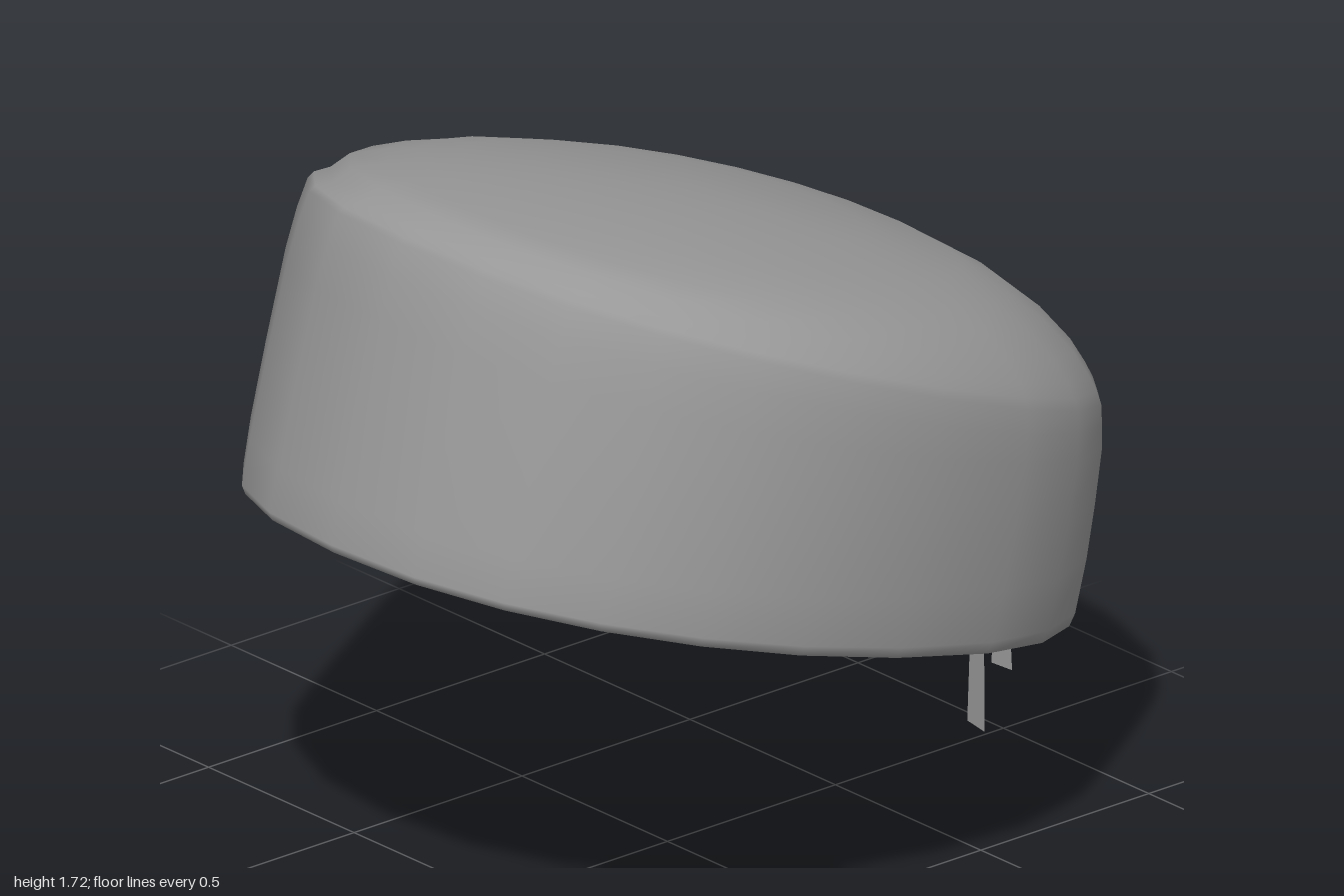
import * as THREE from 'three';

const material = new THREE.MeshStandardMaterial({ color: 0x999999, side: THREE.DoubleSide });
const SEGMENTS = 24;

// Skin of quads between equal rows of points; closed rows wrap round, an apex closes the top
function loft(rows, closed, apex) {
  const n = rows[0].length;
  const positions = rows.flat(2);
  const index = [];
  const last = closed ? n : n - 1;
  for (let i = 0; i < rows.length - 1; i++) {
    for (let j = 0; j < last; j++) {
      const k = (j + 1) % n;
      const a = i * n + j, b = i * n + k, c = b + n, d = a + n;
      index.push(a, b, c, a, c, d);
    }
  }
  if (apex) {
    const top = rows.length * n, base = top - n;
    positions.push(...apex);
    for (let j = 0; j < n; j++) index.push(base + j, base + ((j + 1) % n), top);
  }
  const geometry = new THREE.BufferGeometry();
  geometry.setAttribute('position', new THREE.Float32BufferAttribute(positions, 3));
  geometry.setIndex(index);
  geometry.computeVertexNormals();
  return geometry;
}

// Tilted oval through a front point, a back point and a half width, squarer at the back
function oval([zFront, yFront, zBack, yBack, halfWidth]) {
  const soften = (v, power) => Math.sign(v) * Math.abs(v) ** power;
  return Array.from({ length: SEGMENTS }, (_, j) => {
    const angle = (j / SEGMENTS) * Math.PI * 2;
    const cos = Math.cos(angle);
    const c = soften(cos, cos > 0 ? 0.95 : 0.88);
    return [
      halfWidth * soften(Math.sin(angle), 0.9),
      (yFront + yBack) / 2 + ((yFront - yBack) / 2) * c,
      (zFront + zBack) / 2 + ((zFront - zBack) / 2) * c,
    ];
  });
}

// Ribbon from rows of [x left, y left, x right, y right, z left, z right]
const ribbon = (rows) =>
  loft(rows.map(([x1, y1, x2, y2, z1, z2 = z1]) => [[x1, y1, z1], [x2, y2, z2]]), false);

function addMesh(parent, name, geometry) {
  const mesh = new THREE.Mesh(geometry, material);
  mesh.name = name;
  parent.add(mesh);
  return mesh;
}

export function createModel() {
  const model = new THREE.Group();
  model.name = 'clothCap';

  // Cap: rounded hem, upright band, small ledge at the front, then the domed crown
  const rings = [
    [0.98, 0.982, -0.905, 0.472, 0.824],
    [0.993, 0.98, -0.92, 0.468, 0.832],
    [1.0, 1.0, -0.935, 0.5, 0.841],
    [0.975, 1.1, -0.965, 0.63, 0.848],
    [0.925, 1.28, -0.985, 0.75, 0.85],
    [0.86, 1.51, -1.0, 0.86, 0.848],
    [0.825, 1.61, -1.0, 0.91, 0.842],
    [0.795, 1.68, -1.0, 0.955, 0.832],
    [0.78, 1.69, -0.99, 0.99, 0.822],
    [0.735, 1.69, -0.972, 1.03, 0.802],
    [0.69, 1.718, -0.94, 1.09, 0.765],
    [0.6, 1.712, -0.87, 1.18, 0.7],
    [0.53, 1.705, -0.79, 1.255, 0.63],
    [0.44, 1.695, -0.69, 1.325, 0.53],
    [0.28, 1.67, -0.48, 1.43, 0.35],
    [0.1, 1.628, -0.26, 1.517, 0.17],
  ];
  addMesh(model, 'cap', loft(rings.map(oval), true, [0, 1.58, -0.08]));

  // Bow tied at the back of the hem
  const bow = new THREE.Group();
  bow.name = 'bow';
  model.add(bow);

  const knot = addMesh(bow, 'knot', new THREE.SphereGeometry(0.033, 12, 8));
  knot.scale.set(1, 1.1, 0.75);
  knot.position.set(0, 0.49, -0.957);

  // Each loop runs out on one layer and returns on the other
  const loopRows = [
    [0.0, 0.465, 0.03, 0.5, -0.955],
    [0.03, 0.42, 0.085, 0.465, -0.938],
    [0.045, 0.375, 0.115, 0.42, -0.938],
    [0.065, 0.34, 0.137, 0.372, -0.952],
    [0.065, 0.34, 0.137, 0.372, -0.962],
    [0.045, 0.375, 0.115, 0.42, -0.977],
    [0.03, 0.42, 0.085, 0.465, -0.977],
    [0.0, 0.465, 0.03, 0.5, -0.957],
  ];
  for (const [side, name] of [[1, 'leftLoop'], [-1, 'rightLoop']]) {
    addMesh(bow, name, ribbon(loopRows.map(([a, b, c, d, z]) => [a * side, b, c * side, d, z])));
  }

  // Hanging tails of unequal length, slightly twisted
  addMesh(bow, 'shortTail', ribbon([
    [0.005, 0.47, 0.03, 0.48, -0.957],
    [0.02, 0.4, 0.055, 0.4, -0.958, -0.964],
    [0.018, 0.3, 0.067, 0.3, -0.955, -0.961],
    [0.012, 0.177, 0.076, 0.177, -0.954, -0.96],
  ]));
  addMesh(bow, 'longTail', ribbon([
    [-0.03, 0.48, -0.003, 0.47, -0.957],
    [-0.055, 0.37, -0.018, 0.37, -0.964, -0.958],
    [-0.07, 0.2, -0.014, 0.2, -0.961, -0.955],
    [-0.078, 0.005, -0.012, 0, -0.96, -0.954],
  ]));

  return model;
}
